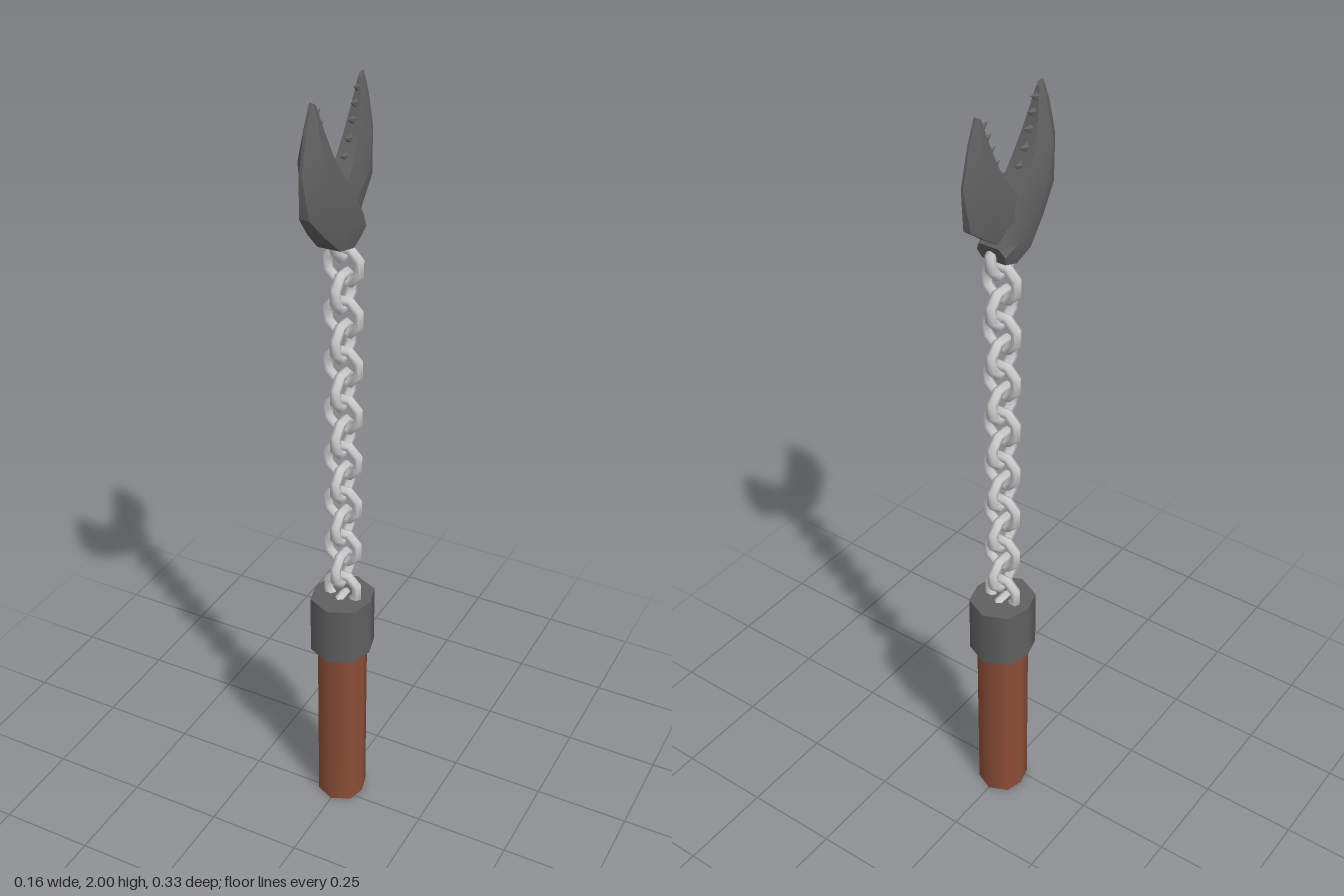
import * as THREE from 'three';
import { toCreasedNormals } from 'three/addons/utils/BufferGeometryUtils.js';

const AXIS_Z = -0.03; // handle and chain sit slightly behind the centre

// Eight-sided post, slightly narrower in x than in z
function post(radius, y0, y1) {
  const g = new THREE.CylinderGeometry(radius, radius, y1 - y0, 8);
  const p = g.attributes.position;
  for (let i = 0; i < p.count; i++) {
    const x = p.getX(i), z = p.getZ(i);
    const diagonal = Math.abs(x) > 1e-4 && Math.abs(z) > 1e-4;
    p.setX(i, x * (diagonal ? 1.02 : 0.9));
    p.setZ(i, z * (diagonal ? 0.95 : 1));
  }
  g.translate(0, (y0 + y1) / 2, AXIS_Z);
  return g;
}

// Stations: [inner z, inner y, outer z, outer y, half width, outer edge ratio]
function jawGeometry(stations) {
  const pos = [], idx = [], n = 6;
  for (const [iz, iy, oz, oy, w, r] of stations) {
    const mz = (iz + oz) / 2, my = (iy + oy) / 2;
    pos.push(w * r, oy, oz, w, my, mz, w * 0.7, iy, iz,
      -w * 0.7, iy, iz, -w, my, mz, -w * r, oy, oz);
  }
  const last = (stations.length - 1) * n;
  for (let s = 0; s < last; s += n) {
    for (let j = 0; j < n; j++) {
      const a = s + j, b = s + (j + 1) % n;
      idx.push(a, b, b + n, a, b + n, a + n);
    }
  }
  for (let j = 1; j < n - 1; j++) {
    idx.push(0, j + 1, j, last, last + j, last + j + 1);
  }
  const g = new THREE.BufferGeometry();
  g.setAttribute('position', new THREE.Float32BufferAttribute(pos, 3));
  g.setIndex(idx);
  return toCreasedNormals(g, 0.6);
}

export function createModel() {
  const model = new THREE.Group();
  model.name = 'clawOnChain';
  const mat = (name, color) => {
    const m = new THREE.MeshStandardMaterial({ color });
    m.name = name;
    return m;
  };
  const wood = mat('brown wood', 0x8c4e37);
  const iron = mat('dark iron', 0x606060);
  const steel = mat('light steel', 0xcccccc);

  const add = (parent, geometry, material, name) => {
    const mesh = new THREE.Mesh(geometry, material);
    mesh.name = name;
    parent.add(mesh);
    return mesh;
  };

  // Handle and collar
  add(model, post(0.068, 0, 0.5), wood, 'handle');
  add(model, post(0.087, 0.495, 0.657), iron, 'collar');

  // Chain: links alternate between facing front and facing sideways
  const chain = new THREE.Group();
  chain.name = 'chain';
  model.add(chain);
  const linkGeometry = new THREE.TorusGeometry(0.043, 0.0135, 6, 8);
  linkGeometry.rotateZ(Math.PI / 8);
  for (let i = 0; i < 17; i++) {
    const link = add(chain, linkGeometry, steel, 'chainLink');
    link.position.set(0, 1.644 - i * 0.0645, AXIS_Z);
    if (i % 2 === 0) link.rotation.y = Math.PI / 2;
  }

  // Upper blade shared by both jaws, from the elbow to the tip
  const blade = [
    [0.025, 1.815, 0.152, 1.755, 0.041, 0.3],
    [0.065, 1.875, 0.167, 1.86, 0.034, 0.1],
    [0.088, 1.94, 0.143, 1.945, 0.018, 0.2],
    [0.103, 1.99, 0.12, 2.0, 0.006, 0.4],
  ];
  const frontBase = [
    [-0.077, 1.69, -0.058, 1.645, 0.038, 0.8],
    [-0.035, 1.742, -0.018, 1.632, 0.043, 0.75],
    [0, 1.786, 0.04, 1.645, 0.044, 0.65],
    [0.012, 1.8, 0.098, 1.697, 0.043, 0.5],
  ];
  const backBase = [
    [-0.03, 1.745, 0, 1.68, 0.042, 0.7],
    [0, 1.786, 0.071, 1.696, 0.043, 0.6],
  ];

  // Teeth: [z, y, size] along the inner edge
  const teeth = [
    [0.092, 1.972, 0.6], [0.083, 1.94, 0.8], [0.075, 1.905, 1],
    [0.058, 1.868, 1], [0.036, 1.835, 0.8],
  ];
  const toothGeometry = toCreasedNormals(new THREE.ConeGeometry(0.015, 0.04, 5), 0.4);

  const makeJaw = (name, base, width, turn) => {
    const jaw = new THREE.Group();
    jaw.name = name;
    add(jaw, jawGeometry([...base, ...blade]), iron, 'jawBody');
    for (const [z, y, size] of teeth) {
      const tooth = add(jaw, toothGeometry, iron, 'tooth');
      tooth.position.set(0, y, z - 0.006);
      tooth.rotation.x = -1.25; // points inwards and slightly up
      tooth.scale.setScalar(size);
    }
    jaw.scale.x = width;
    jaw.rotation.y = turn;
    model.add(jaw);
  };
  makeJaw('frontJaw', frontBase, 1, 0);
  makeJaw('backJaw', backBase, 0.78, Math.PI);

  return model;
}
